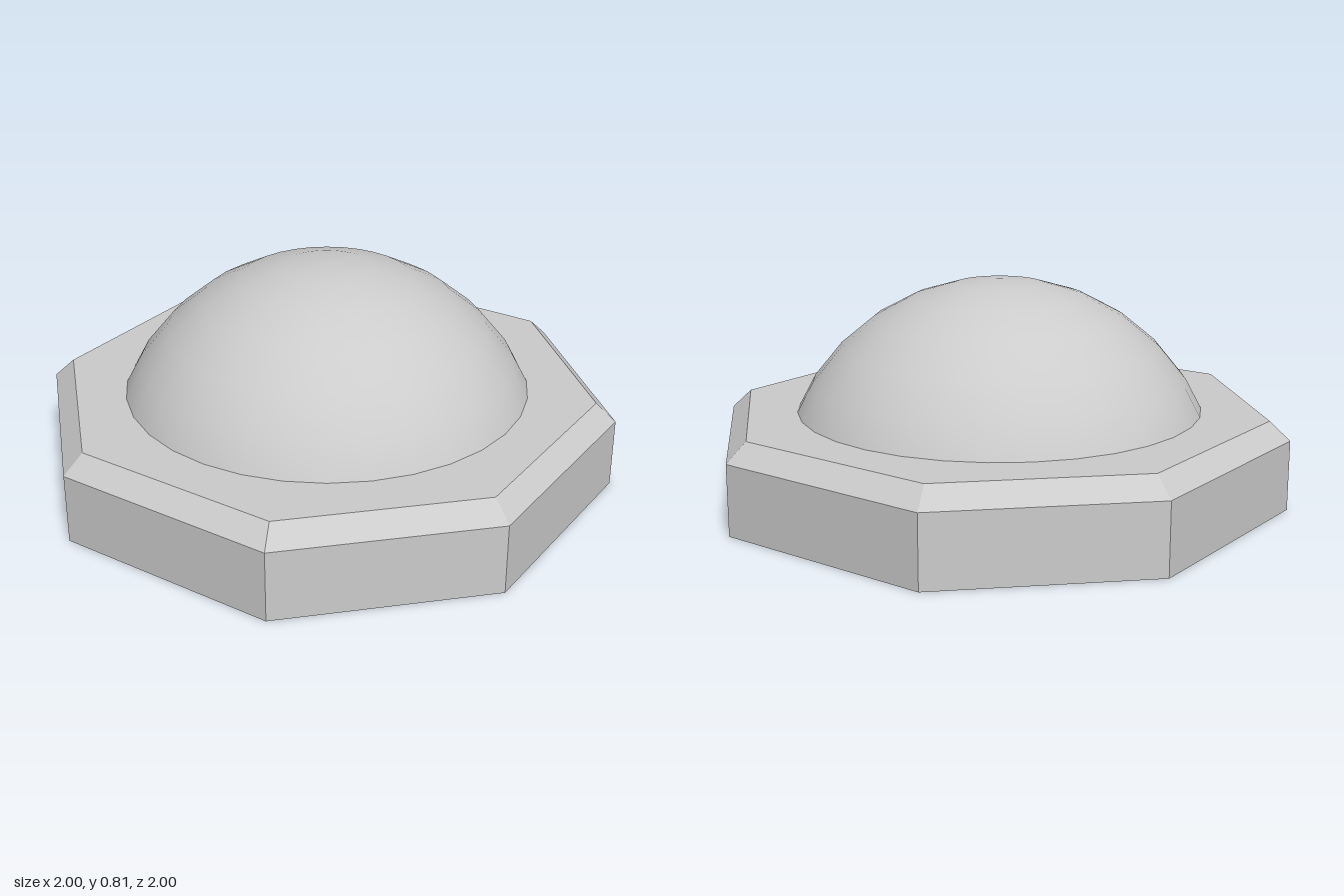
import * as THREE from 'three';
import { ConvexGeometry } from 'three/addons/geometries/ConvexGeometry.js';

const OCTAGON = [[0.4, 1], [1, 0.4], [1, -0.4], [0.4, -1], [-0.4, -1], [-1, -0.4], [-1, 0.4], [-0.4, 1]];

// One horizontal octagonal cross-section of the base
function ring(y, scale) {
  return OCTAGON.map(([x, z]) => new THREE.Vector3(x * scale, y, z * scale));
}

export function createModel() {
  const group = new THREE.Group();
  group.name = 'domedButton';

  // Octagonal base with a chamfered top edge
  const base = new THREE.Mesh(
    new ConvexGeometry([...ring(0, 1), ...ring(0.26, 1), ...ring(0.33, 0.93)]),
    new THREE.MeshStandardMaterial({ color: 0xcccccc, flatShading: true })
  );
  base.name = 'base';

  // Smooth spherical cap, its rim sunk just below the top of the base
  const capAngle = 6 * Math.PI / 16;
  const dome = new THREE.Mesh(
    new THREE.SphereGeometry(0.834, 32, 6, 0, Math.PI * 2, 0, capAngle),
    new THREE.MeshStandardMaterial({ color: 0xcccccc })
  );
  dome.name = 'dome';
  dome.position.y = -0.024;

  group.add(base, dome);
  return group;
}
